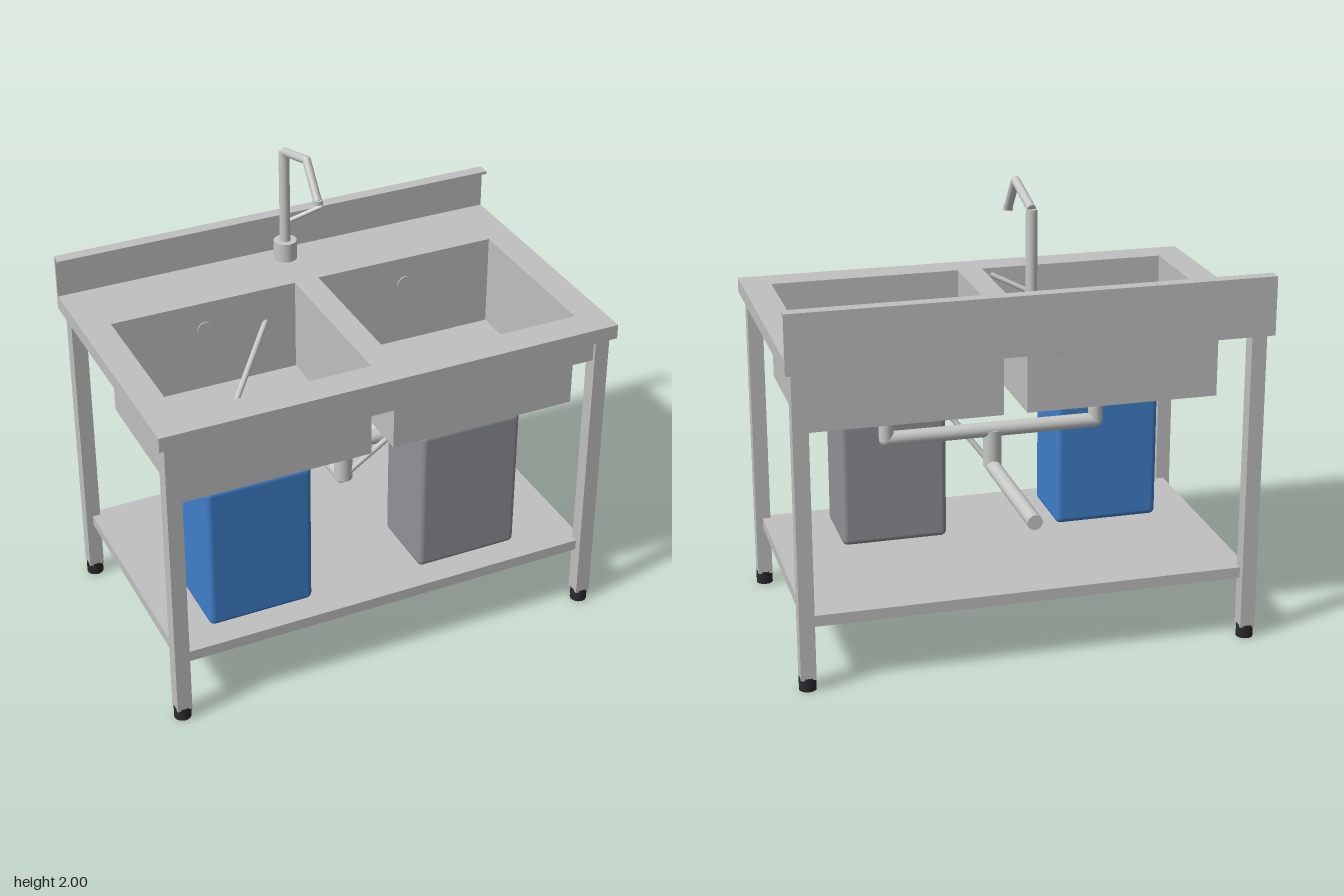
import * as THREE from 'three';
import { RoundedBoxGeometry } from 'three/addons/geometries/RoundedBoxGeometry.js';

const mat = (name, color) => {
  const m = new THREE.MeshStandardMaterial({ color });
  m.name = name;
  return m;
};

export function createModel() {
  const steel = mat('steel', 0xc0c0c0);
  const chrome = mat('chrome', 0xc6c8c6);
  const black = mat('black rubber', 0x2a2a2e);
  const blue = mat('blue plastic', 0x3f7fca);
  const grey = mat('grey plastic', 0x919297);

  const model = new THREE.Group();
  model.name = 'doubleSink';

  const add = (name, geometry, material, parent = model) => {
    const mesh = new THREE.Mesh(geometry, material);
    mesh.name = name;
    parent.add(mesh);
    return mesh;
  };
  // Box given by its limits on each axis
  const box = (name, material, [x0, x1], [y0, y1], [z0, z1], parent) => {
    const mesh = add(name, new THREE.BoxGeometry(x1 - x0, y1 - y0, z1 - z0), material, parent);
    mesh.position.set((x0 + x1) / 2, (y0 + y1) / 2, (z0 + z1) / 2);
    return mesh;
  };
  // Round rod between two points
  const rod = (name, material, a, b, r, parent, sides = 24) => {
    const p = new THREE.Vector3(...a);
    const dir = new THREE.Vector3(...b).sub(p);
    const mesh = add(name, new THREE.CylinderGeometry(r, r, dir.length(), sides), material, parent);
    mesh.position.copy(p).addScaledVector(dir, 0.5);
    mesh.quaternion.setFromUnitVectors(new THREE.Vector3(0, 1, 0), dir.normalize());
    return mesh;
  };
  const ball = (name, material, p, r, parent) => {
    const mesh = add(name, new THREE.SphereGeometry(r, 20, 14), material, parent);
    mesh.position.set(...p);
  };

  // Basin limits
  const xIn = 0.05, xOut = 0.88, zBack = -0.283, zFront = 0.465, wall = 0.004;

  // Worktop with two rectangular openings
  const top = new THREE.Shape();
  top.moveTo(-1, -0.597).lineTo(1, -0.597).lineTo(1, 0.597).lineTo(-1, 0.597).closePath();
  for (const s of [-1, 1]) {
    const a = s * (xIn + wall), b = s * (xOut - wall);
    const hole = new THREE.Path();
    hole.moveTo(a, -zFront + wall).lineTo(b, -zFront + wall);
    hole.lineTo(b, -zBack - wall).lineTo(a, -zBack - wall).closePath();
    top.holes.push(hole);
  }
  const topGeometry = new THREE.ExtrudeGeometry(top, { depth: 0.063, bevelEnabled: false });
  topGeometry.rotateX(-Math.PI / 2);
  add('worktop', topGeometry, steel).position.y = 1.352;

  // Backsplash with a forward lip
  box('backsplash', steel, [-1, 1], [1.352, 1.6], [-0.6, -0.587]);
  box('backsplashLip', steel, [-1, 1], [1.587, 1.6], [-0.6, -0.545]);

  // Front apron and lower shelf
  box('frontApron', steel, [-0.93, 0.93], [1.252, 1.352], [0.54, 0.565]);
  box('shelf', steel, [-0.945, 0.945], [0.27, 0.318], [-0.545, 0.545]);

  // Square legs on round feet
  for (const x of [-0.943, 0.943]) {
    for (const z of [-0.543, 0.547]) {
      box('leg', steel, [x - 0.032, x + 0.032], [0.05, 1.352], [z - 0.032, z + 0.032]);
      rod('foot', black, [x, 0, z], [x, 0.057, z], 0.036);
    }
  }

  // Basins, each with drain, overflow and drop pipe
  for (const s of [-1, 1]) {
    const basin = new THREE.Group();
    basin.name = s < 0 ? 'rightBasin' : 'leftBasin';
    model.add(basin);
    const x0 = s < 0 ? -xOut : xIn, x1 = s < 0 ? -xIn : xOut;
    const y = [1.0, 1.353];
    box('basinFloor', steel, [x0, x1], [1.0, 1.006], [zBack, zFront], basin);
    box('basinBack', steel, [x0, x1], y, [zBack, zBack + wall], basin);
    box('basinFront', steel, [x0, x1], y, [zFront - wall, zFront], basin);
    box('basinSide', steel, [x0, x0 + wall], y, [zBack, zFront], basin);
    box('basinSide', steel, [x1 - wall, x1], y, [zBack, zFront], basin);
    const x = s * 0.466;
    rod('drain', black, [x, 1.003, 0.09], [x, 1.01, 0.09], 0.04, basin, 32);
    rod('overflow', steel, [x, 1.29, zBack + wall], [x, 1.29, zBack + wall + 0.006], 0.035, basin, 32);
    rod('dropPipe', chrome, [x, 0.8, 0.09], [x, 1.0, 0.09], 0.032, basin);
    ball('pipeElbow', chrome, [x, 0.802, 0.09], 0.032, basin);
  }

  // Shared waste pipe
  const waste = new THREE.Group();
  waste.name = 'wastePipe';
  model.add(waste);
  rod('crossPipe', chrome, [-0.466, 0.802, 0.09], [0.466, 0.802, 0.09], 0.032, waste);
  rod('tee', chrome, [0, 0.635, 0.09], [0, 0.802, 0.09], 0.04, waste);
  rod('outletPipe', chrome, [0, 0.636, 0.09], [0, 0.636, -0.58], 0.032, waste);

  // Water canisters with cap and grip
  for (const [name, x, material] of [['blueCanister', -0.53, blue], ['greyCanister', 0.43, grey]]) {
    const canister = new THREE.Group();
    canister.name = name;
    model.add(canister);
    const body = add('canisterBody', new RoundedBoxGeometry(0.462, 0.668, 0.33, 4, 0.025), material, canister);
    body.position.set(x, 0.652, 0.27);
    rod('cap', black, [x - 0.132, 0.98, 0.265], [x - 0.132, 1.02, 0.265], 0.04, canister, 32);
    box('grip', material, [x - 0.015, x + 0.148], [0.98, 1.015], [0.212, 0.31], canister);
  }

  // Supply and waste hoses
  rod('supplyHose', chrome, [-0.662, 1.0, 0.265], [0, 1.36, -0.505], 0.0125);
  rod('wasteHose', chrome, [0.298, 1.022, 0.265], [0, 0.636, 0.09], 0.0125);

  // Faucet with angled spout and side lever
  const faucet = new THREE.Group();
  faucet.name = 'faucet';
  model.add(faucet);
  const z = -0.503, bend = [0, 1.98, -0.27], shoulder = [0, 1.917, z];
  rod('faucetBase', chrome, [0, 1.41, z], [0, 1.5, z], 0.05, faucet, 32);
  rod('faucetColumn', chrome, [0, 1.41, z], shoulder, 0.023, faucet);
  rod('spoutArm', chrome, shoulder, bend, 0.018, faucet);
  ball('spoutElbow', chrome, bend, 0.018, faucet);
  rod('spoutTip', chrome, bend, [0, 1.842, -0.162], 0.018, faucet);
  rod('nozzle', chrome, [0, 1.832, -0.16], [0, 1.85, -0.16], 0.021, faucet);
  rod('lever', chrome, [0, 1.583, z], [0.15, 1.653, -0.45], 0.01, faucet);

  return model;
}
